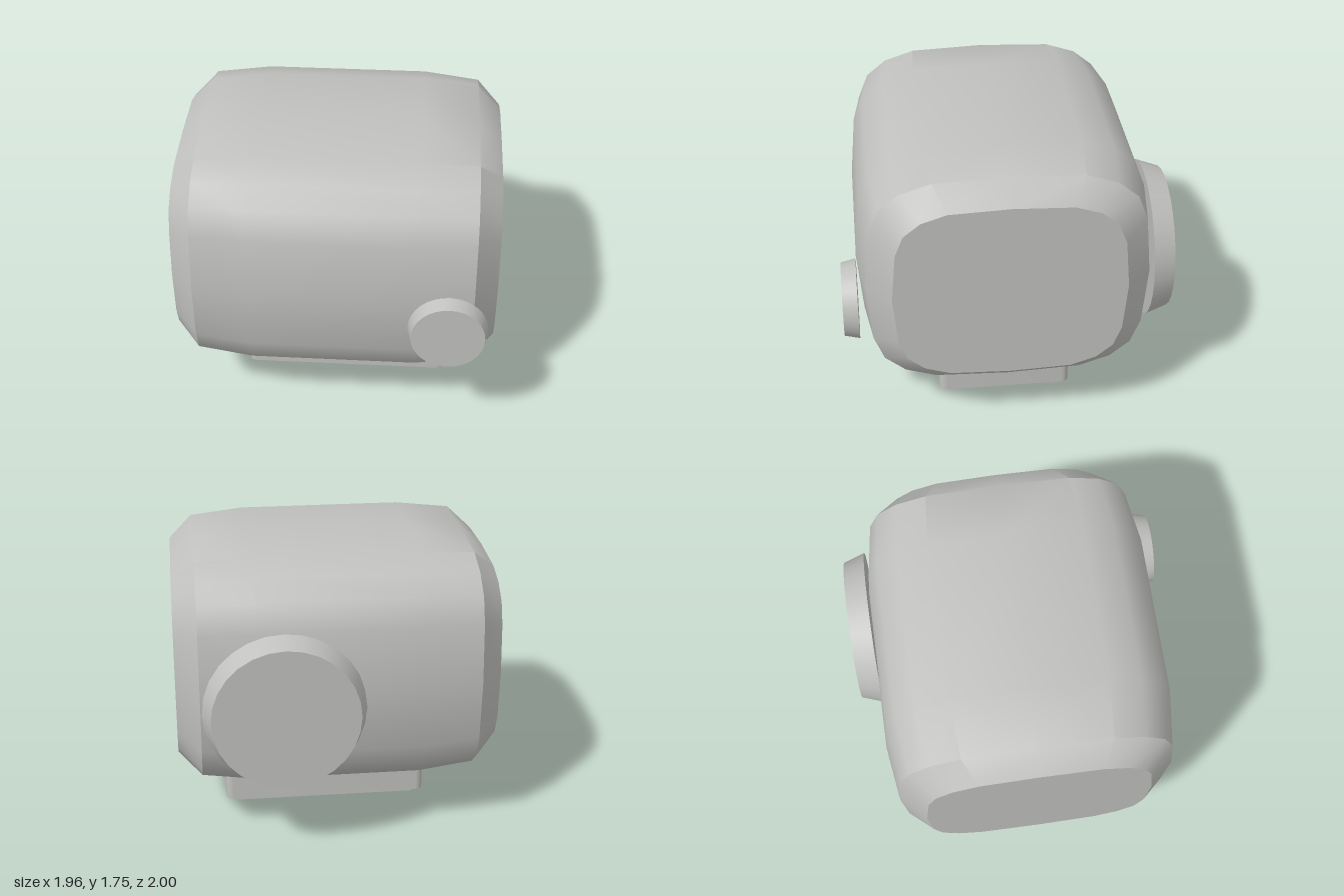
import * as THREE from 'three';
import { toCreasedNormals } from 'three/addons/utils/BufferGeometryUtils.js';

const CY = 1.01, CZ = 0.017;

// Rounded body lofted along x from one normalised cross-section
function bodyGeometry() {
  const quarter = [[1, 0], [0.962, 0.525], [0.89, 0.745], [0.745, 0.888], [0.525, 0.975]];
  const ring = [];
  let turn = [1, 0];
  for (let k = 0; k < 4; k++) {
    // odd quadrants run the profile backwards to keep it symmetric
    const pts = k % 2 === 0 ? quarter
      : [[1, 0], ...quarter.slice(1).reverse().map(([a, b]) => [b, a])];
    for (const [a, b] of pts) ring.push([a * turn[0] - b * turn[1], a * turn[1] + b * turn[0]]);
    turn = [-turn[1], turn[0]];
  }
  // x, half height, half depth
  const stations = [
    [-0.98, 0.582, 0.695], [-0.84, 0.708, 0.845], [-0.5, 0.74, 0.891],
    [0.5, 0.74, 0.891], [0.84, 0.708, 0.845], [0.98, 0.582, 0.695],
  ];
  const n = ring.length, last = stations.length - 1;
  const pos = [], index = [];
  for (const [x, hy, hz] of stations) {
    for (const [z, y] of ring) pos.push(x, CY + y * hy, CZ + z * hz);
  }
  const c0 = pos.length / 3, c1 = c0 + 1;
  pos.push(stations[0][0], CY, CZ, stations[last][0], CY, CZ);
  for (let j = 0; j < n; j++) {
    const k = (j + 1) % n;
    for (let i = 0; i < last; i++) {
      const a = i * n + j, b = i * n + k, c = a + n, d = b + n;
      index.push(a, c, b, b, c, d);
    }
    index.push(c0, j, k, c1, last * n + k, last * n + j);
  }
  const g = new THREE.BufferGeometry();
  g.setAttribute('position', new THREE.Float32BufferAttribute(pos, 3));
  g.setIndex(index);
  return toCreasedNormals(g, 0.66);
}

// Upright slab with rounded vertical corners
function slabGeometry(w, d, h, r) {
  const s = new THREE.Shape();
  const x = w / 2, y = d / 2;
  s.moveTo(-x + r, -y);
  s.lineTo(x - r, -y);
  s.absarc(x - r, -y + r, r, -Math.PI / 2, 0);
  s.absarc(x - r, y - r, r, 0, Math.PI / 2);
  s.absarc(-x + r, y - r, r, Math.PI / 2, Math.PI);
  s.absarc(-x + r, -y + r, r, Math.PI, Math.PI * 1.5);
  const g = new THREE.ExtrudeGeometry(s, { depth: h, bevelEnabled: false, curveSegments: 5 });
  g.rotateX(-Math.PI / 2);
  return toCreasedNormals(g, 0.6);
}

export function createModel() {
  const group = new THREE.Group();
  const grey = new THREE.MeshStandardMaterial({ color: 0xc0c0be });
  grey.name = 'plain grey';

  const add = (name, geometry, x = 0, y = 0, z = 0) => {
    const m = new THREE.Mesh(geometry, grey);
    m.name = name;
    m.position.set(x, y, z);
    group.add(m);
    return m;
  };

  add('body', bodyGeometry());

  // Tapered round knobs, narrow end outwards
  const frontKnob = add('frontKnob', new THREE.CylinderGeometry(0.22, 0.24, 0.09, 32), 0.69, 0.833, 0.955);
  frontKnob.rotation.x = Math.PI / 2;
  const backKnob = add('backKnob', new THREE.CylinderGeometry(0.44, 0.487, 0.135, 28), 0.345, 0.92, -0.9325);
  backKnob.rotation.x = -Math.PI / 2;

  // Foot with two rails and a hexagonal peg underneath
  add('base', slabGeometry(1.265, 0.82, 0.28, 0.045), 0.0575, 0.072, 0.02);
  for (const [name, z] of [['frontRail', 0.34], ['backRail', -0.292]]) {
    add(name, new THREE.BoxGeometry(1.15, 0.065, 0.028), 0.055, 0.0475, z);
  }
  const peg = new THREE.CylinderGeometry(0.062, 0.062, 0.08, 6);
  add('peg', toCreasedNormals(peg, 0.5), -0.345, 0.04, 0.02);

  return group;
}
